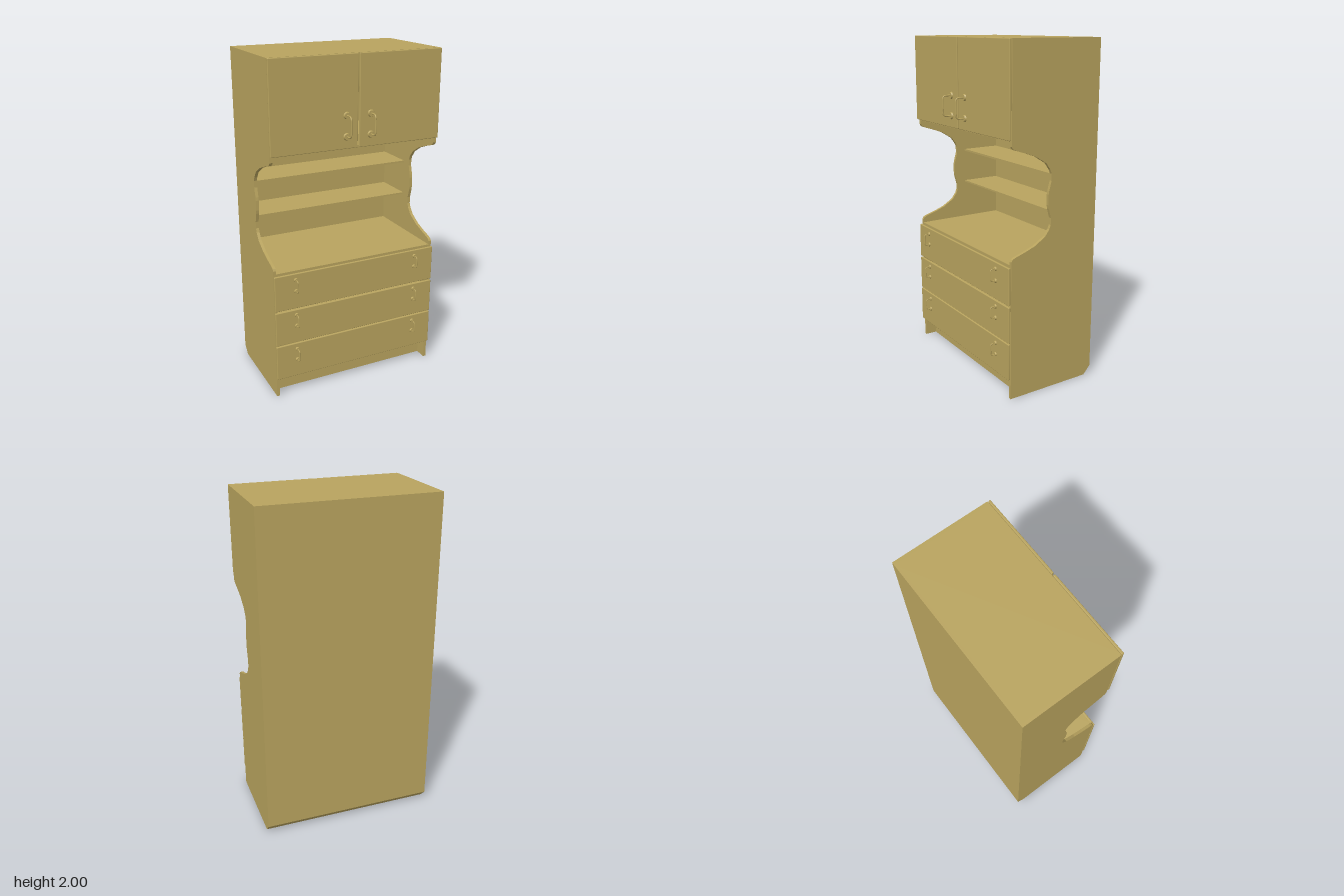
import * as THREE from 'three';
import { RoundedBoxGeometry } from 'three/addons/geometries/RoundedBoxGeometry.js';

const HALF = 0.525, T = 0.018, INNER = HALF - T, FRONT = 0.25, BACK = -0.33;

export function createModel() {
  const group = new THREE.Group();
  const wood = new THREE.MeshStandardMaterial({ color: 0xb8a35e });

  const add = (name, geometry, parent = group) => {
    const mesh = new THREE.Mesh(geometry, wood);
    mesh.name = name;
    parent.add(mesh);
    return mesh;
  };

  // Box given by its limits, optionally with softened edges
  const panel = (name, x0, x1, y0, y1, z0, z1, radius = 0) => {
    const size = [x1 - x0, y1 - y0, z1 - z0];
    const geometry = radius ? new RoundedBoxGeometry(...size, 2, radius) : new THREE.BoxGeometry(...size);
    return add(name, geometry.translate((x0 + x1) / 2, (y0 + y1) / 2, (z0 + z1) / 2));
  };

  // Profile of [z, y] points extruded across x from x0 to x1
  const profile = (name, points, x0, x1) => {
    const shape = new THREE.Shape(points.map(([z, y]) => new THREE.Vector2(z, y)));
    const geometry = new THREE.ExtrudeGeometry(shape, { depth: x1 - x0, bevelEnabled: false });
    return add(name, geometry.rotateY(-Math.PI / 2).translate(x1, 0, 0));
  };

  // Side panels: the scalloped cut-out is symmetric about MID
  const MID = 1.135;
  const halfCut = [
    [FRONT, 0.315], [0.243, 0.302], [0.225, 0.293], [0.16, 0.273], [0.095, 0.249],
    [0.026, 0.207], [-0.003, 0.168], [-0.012, 0.145], [-0.012, 0.105], [0.003, 0.05], [0.006, 0.03],
  ];
  const sideOutline = [
    [FRONT, 0],
    ...halfCut.map(([z, d]) => [z, MID - d]),
    ...halfCut.map(([z, d]) => [z, MID + d]).reverse(),
    [FRONT, 2], [BACK, 2], [BACK, 0.05], [-0.285, 0],
  ];
  profile('leftSide', sideOutline, INNER, HALF);
  profile('rightSide', sideOutline, -HALF, -INNER);

  // Back panel, folded forward along its lower edge
  profile('backPanel', [
    [BACK, 2], [BACK, 0.05], [-0.285, 0], [-0.272, 0], [BACK + 0.012, 0.053], [BACK + 0.012, 2],
  ], -INNER, INNER);

  // Horizontal boards and plinth
  panel('topBoard', -INNER, INNER, 2 - T, 2, BACK, FRONT);
  panel('cupboardFloor', -INNER, INNER, 1.475, 1.49, BACK, FRONT);
  panel('upperShelf', -INNER, INNER, 1.248, 1.26, BACK, -0.07);
  panel('lowerShelf', -INNER, INNER, 1.037, 1.047, BACK, -0.07);
  panel('counter', -INNER, INNER, 0.782, 0.8, BACK, FRONT);
  panel('baseBoard', -INNER, INNER, 0.112, 0.128, BACK, FRONT);
  panel('plinth', -INNER, INNER, 0, 0.112, 0.16, 0.178);

  // Bow handle with two round mounting plates
  const handle = (name, x, y, height, reach, tubeR, plateR) => {
    const g = new THREE.Group();
    g.name = name;
    const h = height / 2, c = reach * 0.4;
    const p = (yy, zz) => new THREE.Vector3(0, yy, zz);
    const path = new THREE.CurvePath();
    path.add(new THREE.LineCurve3(p(-h, 0), p(-h, reach - c)));
    path.add(new THREE.QuadraticBezierCurve3(p(-h, reach - c), p(-h, reach), p(-h + c, reach)));
    path.add(new THREE.LineCurve3(p(-h + c, reach), p(h - c, reach)));
    path.add(new THREE.QuadraticBezierCurve3(p(h - c, reach), p(h, reach), p(h, reach - c)));
    path.add(new THREE.LineCurve3(p(h, reach - c), p(h, 0)));
    add('bow', new THREE.TubeGeometry(path, 40, tubeR, 10), g);
    for (const s of [-1, 1]) {
      const plate = new THREE.CylinderGeometry(plateR * 0.8, plateR, 0.009, 20);
      add('mountingPlate', plate.rotateX(Math.PI / 2).translate(0, s * h, 0.004), g);
    }
    g.position.set(x, y, 0.268);
    group.add(g);
  };

  // Cupboard doors with hinges and handles
  for (const s of [-1, 1]) {
    const [x0, x1] = s > 0 ? [0.005, HALF] : [-HALF, -0.005];
    panel('door', x0, x1, 1.482, 2, 0.254, 0.268, 0.004);
    for (const y of [1.56, 1.92]) {
      panel('hinge', s * 0.497 - 0.006, s * 0.497 + 0.006, y - 0.012, y + 0.012, 0.24, 0.256);
    }
    handle('doorHandle', s * 0.075, 1.61, 0.118, 0.056, 0.0045, 0.021);
  }

  // Three drawers, each a front, a box behind it and two handles
  for (const [y0, y1] of [[0.122, 0.34], [0.347, 0.56], [0.57, 0.788]]) {
    panel('drawerFront', -HALF, HALF, y0, y1, 0.254, 0.268, 0.004);
    panel('drawerBox', -0.49, 0.49, y0 + 0.02, y1 - 0.03, -0.28, 0.256);
    for (const s of [-1, 1]) handle('drawerHandle', s * 0.395, y0 + 0.145, 0.07, 0.033, 0.003, 0.013);
  }

  return group;
}
